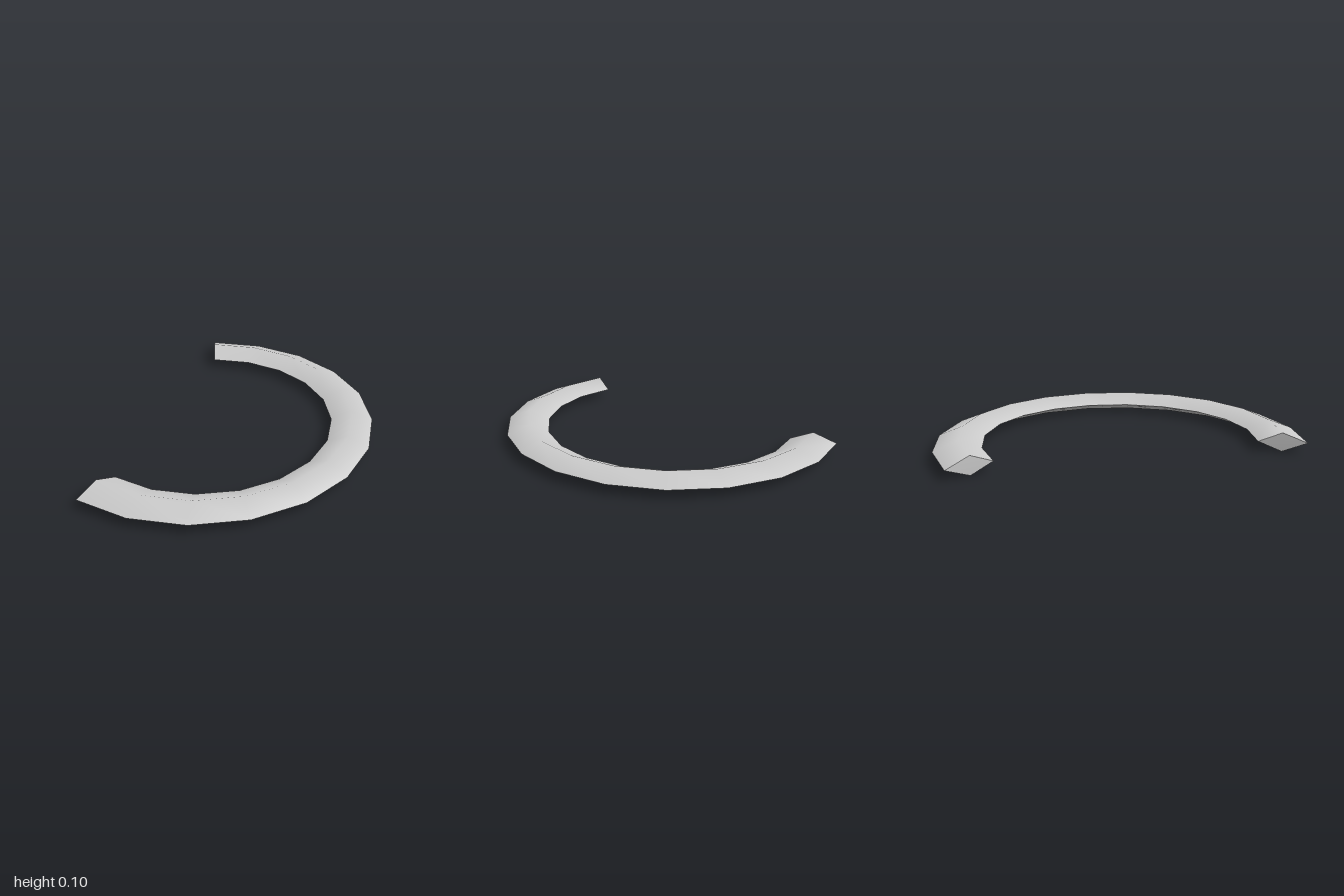
import * as THREE from 'three';
import { toCreasedNormals } from 'three/addons/utils/BufferGeometryUtils.js';

const SEGMENTS = 12;
const SWEEP = THREE.MathUtils.degToRad(216);

// Diamond section: [radius, height, centre x of the arc it follows]
const PROFILE = [
  [1.0, 0.052, -0.3455], // outer edge
  [0.868, 0.104, -0.336], // top ridge
  [0.743, 0.052, -0.33], // inner edge
  [0.868, 0, -0.336], // bottom ridge
];

// Sweeps the diamond section along an open arc and closes both ends
function arcGeometry() {
  const n = PROFILE.length;
  const positions = [];
  const index = [];
  for (let i = 0; i <= SEGMENTS; i++) {
    const a = (i / SEGMENTS - 0.5) * SWEEP;
    for (const [r, y, cx] of PROFILE) {
      positions.push(cx + r * Math.cos(a), y, r * Math.sin(a));
    }
  }
  for (let i = 0; i < SEGMENTS; i++) {
    for (let j = 0; j < n; j++) {
      const a = i * n + j;
      const b = i * n + ((j + 1) % n);
      index.push(a, b, b + n, a, b + n, a + n);
    }
  }
  // End caps
  const e = SEGMENTS * n;
  index.push(0, 2, 1, 0, 3, 2, e, e + 1, e + 2, e, e + 2, e + 3);

  const geometry = new THREE.BufferGeometry();
  geometry.setAttribute('position', new THREE.Float32BufferAttribute(positions, 3));
  geometry.setIndex(index);
  // Smooth over the ridges, sharp at the inner and outer edges and the ends
  return toCreasedNormals(geometry, Math.PI / 3);
}

export function createModel() {
  const group = new THREE.Group();
  group.name = 'openRing';
  const arc = new THREE.Mesh(arcGeometry(), new THREE.MeshStandardMaterial({ color: 0xcccccc }));
  arc.name = 'arcBand';
  group.add(arc);
  return group;
}
